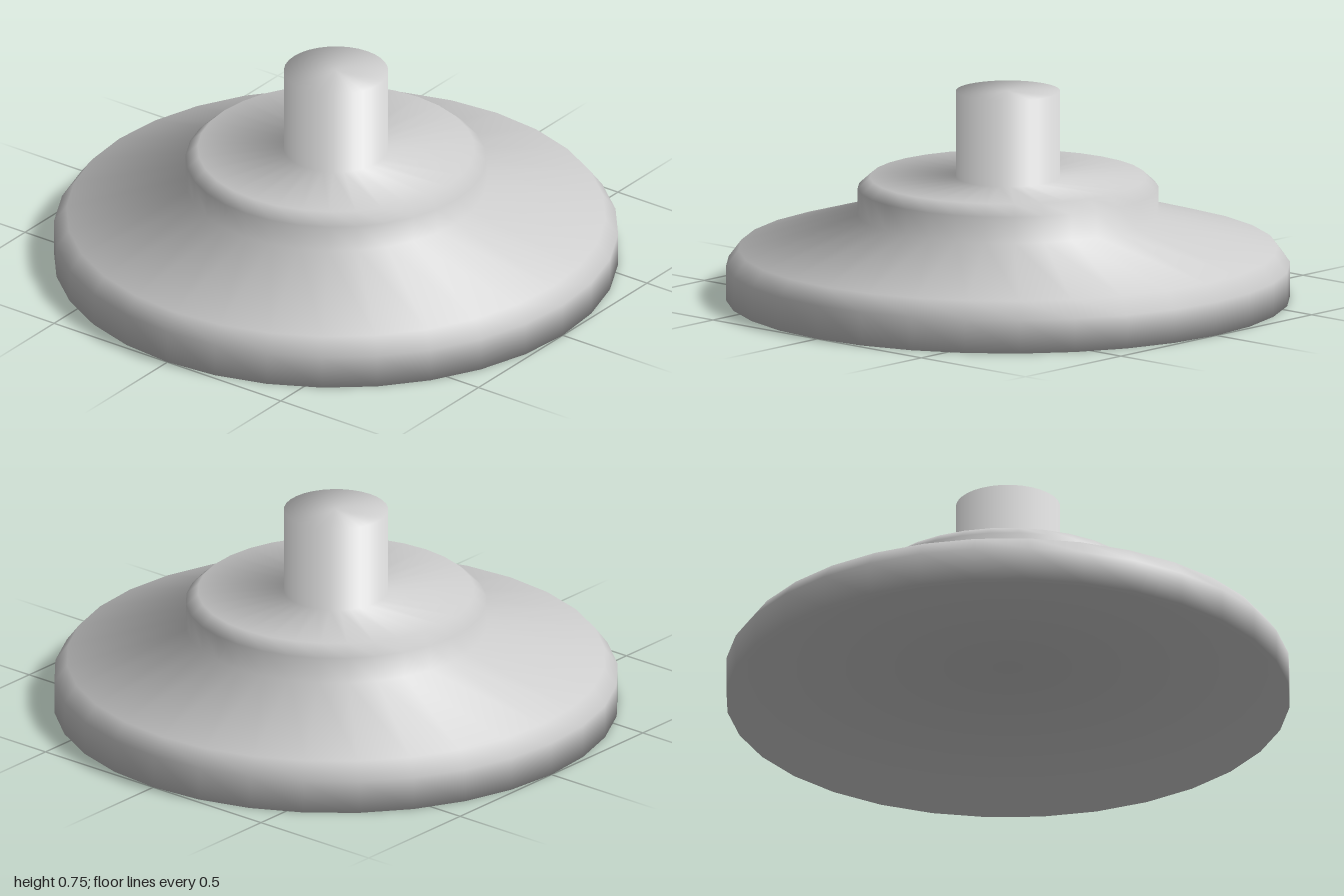
import * as THREE from 'three';

// Turned shape whose smooth normals average neighbouring bands equally
function turned(points, sides) {
  const profile = points.map(([r, y]) => new THREE.Vector2(r, y));
  const geometry = new THREE.LatheGeometry(profile, sides);
  const bands = profile.slice(1).map((p, j) =>
    new THREE.Vector2(p.y - profile[j].y, profile[j].x - p.x).normalize());
  const normals = profile.map((p, j) =>
    (bands[j - 1] ?? bands[j]).clone().add(bands[j] ?? bands[j - 1]).normalize());
  for (let i = 0; i <= sides; i++) {
    const angle = (i / sides) * Math.PI * 2;
    normals.forEach((n, j) => geometry.attributes.normal.setXYZ(
      i * normals.length + j, n.x * Math.sin(angle), n.y, n.x * Math.cos(angle)));
  }
  return geometry;
}

// Wide sloping base with a hollow underside, stepped collar and stem
export function createModel() {
  const group = new THREE.Group();
  group.name = 'turnedKnob';

  const material = new THREE.MeshStandardMaterial({ color: 0xcccccc });

  const body = new THREE.Mesh(turned([
    // recessed underside and thin rim
    [0, 0.12], [0.98, 0.12], [0.98, 0], [1, 0],
    // base wall, bevel and slope
    [1, 0.12], [0.955, 0.18], [0.533, 0.303],
    // collar with bevelled edge
    [0.533, 0.398], [0.49, 0.437],
    // stem and flat top
    [0.185, 0.437], [0.185, 0.747], [0, 0.747],
  ], 32), material);
  body.name = 'baseCollarAndStem';
  group.add(body);

  return group;
}
